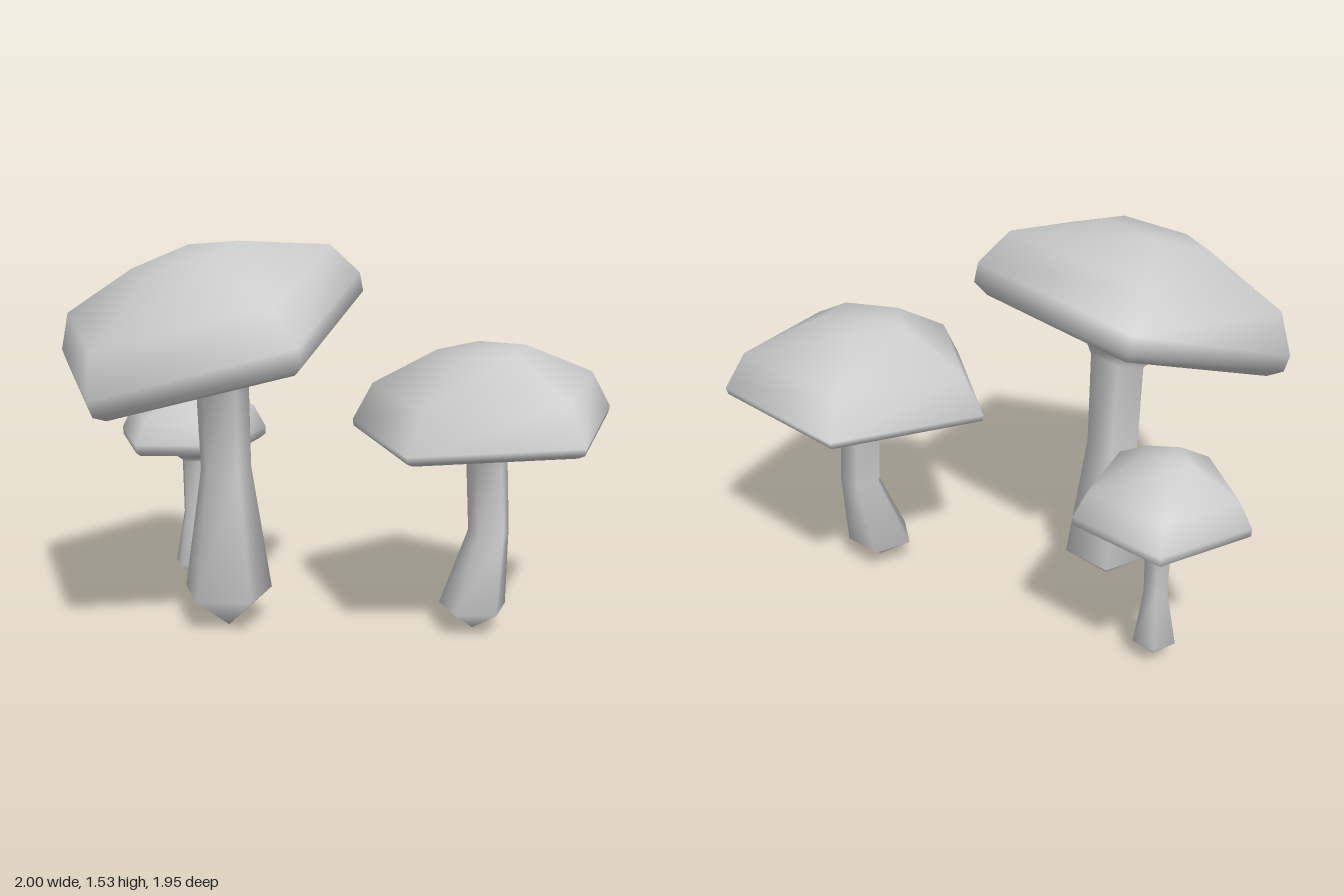
import * as THREE from 'three';

const SIDES = 5;

// Closed loft through tilted pentagon rings [x, y, z, radius, tilt]; radius 0 is a single pole point.
// It is split at ring number `split` into a stem and a cap that share smooth normals.
function makeMushroom(name, rings, split) {
  const positions = [];
  for (const [cx, cy, cz, r, tilt] of rings) {
    for (let k = 0; k < SIDES; k++) {
      const a = (k / SIDES) * Math.PI * 2;
      const side = r * Math.sin(a);
      positions.push(cx + side * Math.cos(tilt), cy + side * Math.sin(tilt), cz + r * Math.cos(a));
    }
  }
  // single points closing the base and the crown
  const base = rings.length * SIDES, crown = base + 1;
  const last = rings.length - 1;
  positions.push(...rings[0].base, ...rings[last].slice(0, 3));

  const stemIndex = [], capIndex = [];
  for (let k = 0; k < SIDES; k++) {
    const n = (k + 1) % SIDES;
    stemIndex.push(base, n, k);
    for (let i = 0; i < last; i++) {
      const a = i * SIDES + k, b = i * SIDES + n;
      (i < split ? stemIndex : capIndex).push(a, b, b + SIDES, a, b + SIDES, a + SIDES);
    }
    capIndex.push(last * SIDES + k, last * SIDES + n, crown);
  }

  const whole = new THREE.BufferGeometry();
  whole.setAttribute('position', new THREE.Float32BufferAttribute(positions, 3));
  whole.setIndex([...stemIndex, ...capIndex]);
  whole.computeVertexNormals();

  const group = new THREE.Group();
  group.name = name;
  for (const [part, index] of [['stem', stemIndex], ['cap', capIndex]]) {
    const geometry = new THREE.BufferGeometry();
    geometry.setAttribute('position', whole.getAttribute('position'));
    geometry.setAttribute('normal', whole.getAttribute('normal'));
    geometry.setIndex(index);
    const mesh = new THREE.Mesh(geometry, new THREE.MeshStandardMaterial({ color: 0xcccccc }));
    mesh.name = part;
    group.add(mesh);
  }
  return group;
}

// Adds the tip of the base to the list of rings
function profile(base, rings) {
  rings[0].base = base;
  return rings;
}

export function createModel() {
  const model = new THREE.Group();
  model.name = 'mushroomCluster';

  // Tall mushroom with a strongly leaning cap
  const t = 0.31;
  model.add(makeMushroom('largeMushroom', profile([-0.32, 0, -0.14], [
    [-0.32, 0.14, -0.15, 0.182, 0],
    [-0.325, 0.64, -0.145, 0.104, 0.08],
    [-0.35, 0.98, -0.12, 0.11, 0.28],
    [-0.363, 1.035, -0.118, 0.148, t],
    [-0.385, 1.075, -0.115, 0.225, t],
    [-0.4, 1.107, -0.105, 0.573, t],
    [-0.408, 1.145, -0.105, 0.63, t],
    [-0.428, 1.21, -0.105, 0.634, 0.32],
    [-0.475, 1.345, -0.103, 0.55, 0.32],
    [-0.515, 1.465, -0.105, 0.216, 0.32],
  ]), 4));

  // Middle mushroom with a bent stem
  const m = 0.073;
  model.add(makeMushroom('mediumMushroom', profile([0.447, 0.01, 0.45], [
    [0.447, 0.1, 0.45, 0.137, 0],
    [0.52, 0.4, 0.45, 0.084, 0.1],
    [0.5, 0.7, 0.45, 0.084, m],
    [0.5, 0.725, 0.45, 0.107, m],
    [0.5, 0.753, 0.45, 0.15, m],
    [0.49, 0.79, 0.44, 0.496, m],
    [0.488, 0.806, 0.44, 0.53, m],
    [0.49, 0.832, 0.44, 0.535, m],
    [0.488, 0.98, 0.44, 0.452, m],
    [0.47, 1.117, 0.44, 0.179, m],
  ]), 4));

  // Small upright mushroom at the back
  model.add(makeMushroom('smallMushroom', profile([-0.17, 0.015, -0.7], [
    [-0.17, 0.085, -0.7, 0.084, 0],
    [-0.165, 0.31, -0.7, 0.046, 0],
    [-0.165, 0.545, -0.7, 0.05, 0],
    [-0.165, 0.565, -0.7, 0.075, 0],
    [-0.165, 0.588, -0.7, 0.112, 0],
    [-0.168, 0.62, -0.707, 0.305, 0.01],
    [-0.168, 0.638, -0.707, 0.33, 0.01],
    [-0.168, 0.67, -0.707, 0.331, 0.01],
    [-0.168, 0.765, -0.707, 0.28, 0.01],
    [-0.165, 0.875, -0.705, 0.103, 0],
  ]), 4));

  return model;
}
